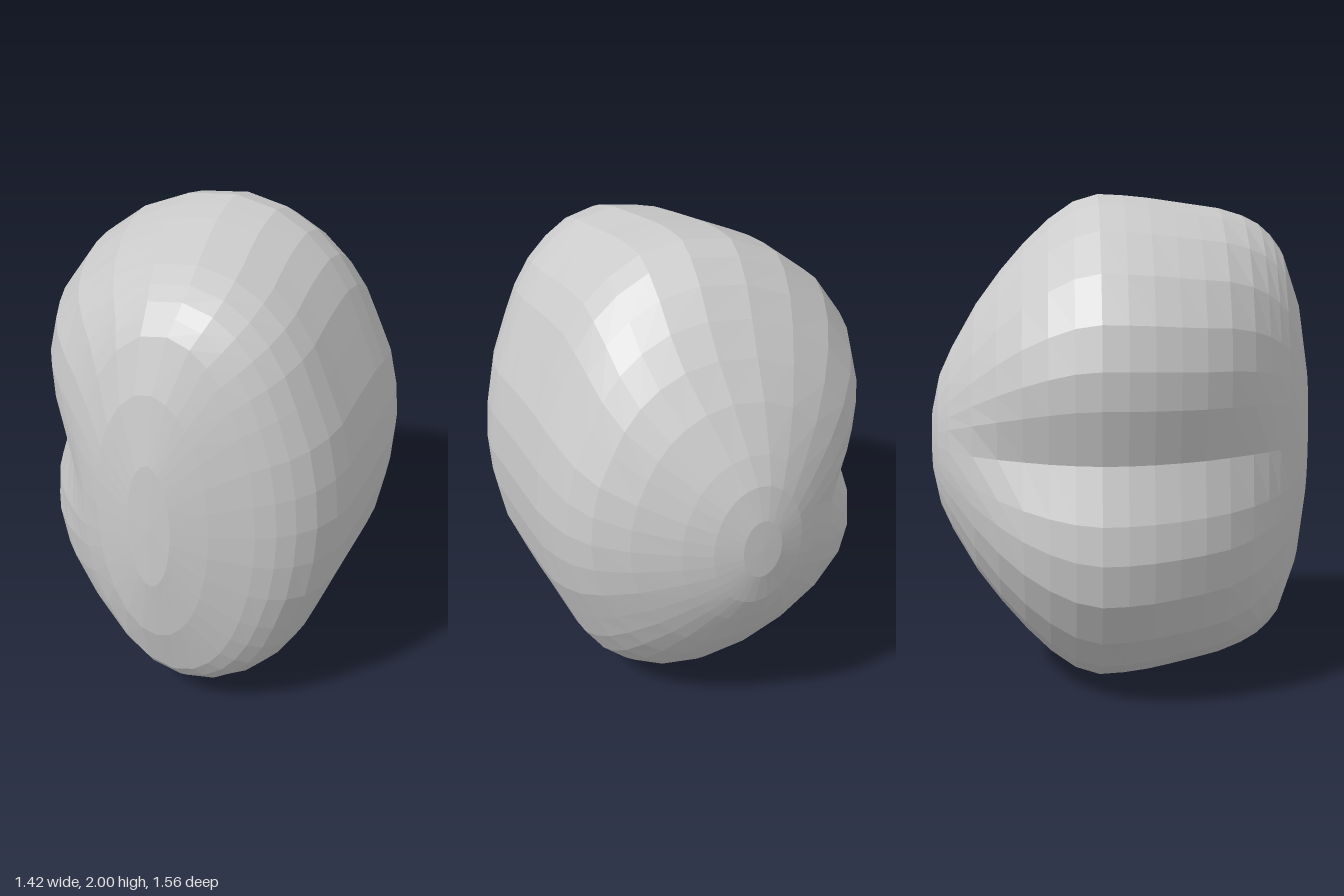
import * as THREE from 'three';

// Upper half of the kidney outline, from the bulging side (+x) over the top to the notch (-x)
const upper = [
  [1, 0], [0.98, 0.18], [0.925, 0.37], [0.82, 0.55], [0.735, 0.69], [0.62, 0.81], [0.48, 0.9],
  [0.295, 0.97], [0.05, 1], [-0.24, 0.965], [-0.52, 0.87], [-0.775, 0.72], [-0.945, 0.54],
  [-1, 0.37], [-0.985, 0.22], [-0.89, 0],
];
const outline = [...upper, ...upper.slice(1, -1).reverse().map(([u, v]) => [u, -v])];

// Sections from back to front: z, min x, max x, half height
const sections = [
  [-0.78, -0.1, 0.06, 0.13], [-0.75, -0.2, 0.17, 0.27], [-0.7, -0.29, 0.28, 0.38],
  [-0.6, -0.43, 0.45, 0.555], [-0.5, -0.53, 0.57, 0.69], [-0.4, -0.605, 0.635, 0.805],
  [-0.3, -0.66, 0.665, 0.9], [-0.2, -0.695, 0.685, 0.97], [-0.1, -0.715, 0.69, 1],
  [0, -0.71, 0.695, 0.995], [0.1, -0.69, 0.7, 0.985], [0.2, -0.655, 0.705, 0.97],
  [0.3, -0.61, 0.71, 0.955], [0.4, -0.545, 0.695, 0.94], [0.5, -0.46, 0.655, 0.91],
  [0.57, -0.385, 0.6, 0.875], [0.62, -0.33, 0.54, 0.83], [0.66, -0.28, 0.47, 0.775],
  [0.73, -0.17, 0.31, 0.56], [0.775, -0.01, 0.17, 0.28],
];

// One closed ring: the kidney outline, rounding to an ellipse towards both ends
function ring([z, x0, x1, h]) {
  const round = THREE.MathUtils.smoothstep(Math.abs(z), 0.4, 0.76);
  return outline.map(([u, v]) => {
    const len = Math.hypot(u, v);
    const su = THREE.MathUtils.lerp(u, u / len, round);
    const sv = THREE.MathUtils.lerp(v, v / len, round);
    return [(x0 + x1) / 2 + su * (x1 - x0) / 2, 1 + sv * h, z];
  });
}

function loft() {
  const n = outline.length;
  const positions = sections.flatMap(ring).flat();
  const index = [];
  for (let i = 0; i < sections.length - 1; i++) {
    for (let j = 0; j < n; j++) {
      const a = i * n + j, b = i * n + (j + 1) % n;
      index.push(a, b, b + n, a, b + n, a + n);
    }
  }
  // Shallow caps at the back and front
  const back = positions.length / 3, front = back + 1, last = (sections.length - 1) * n;
  positions.push(-0.02, 1, -0.783, 0.08, 1, 0.78);
  for (let j = 0; j < n; j++) {
    const k = (j + 1) % n;
    index.push(back, k, j, front, last + j, last + k);
  }
  const geometry = new THREE.BufferGeometry();
  geometry.setAttribute('position', new THREE.Float32BufferAttribute(positions, 3));
  geometry.setIndex(index);
  geometry.computeVertexNormals();
  return geometry;
}

export function createModel() {
  const group = new THREE.Group();
  group.name = 'kidneyStone';
  const material = new THREE.MeshStandardMaterial({ color: 0xcccccc, flatShading: true });
  const body = new THREE.Mesh(loft(), material);
  body.name = 'body';
  group.add(body);
  return group;
}
